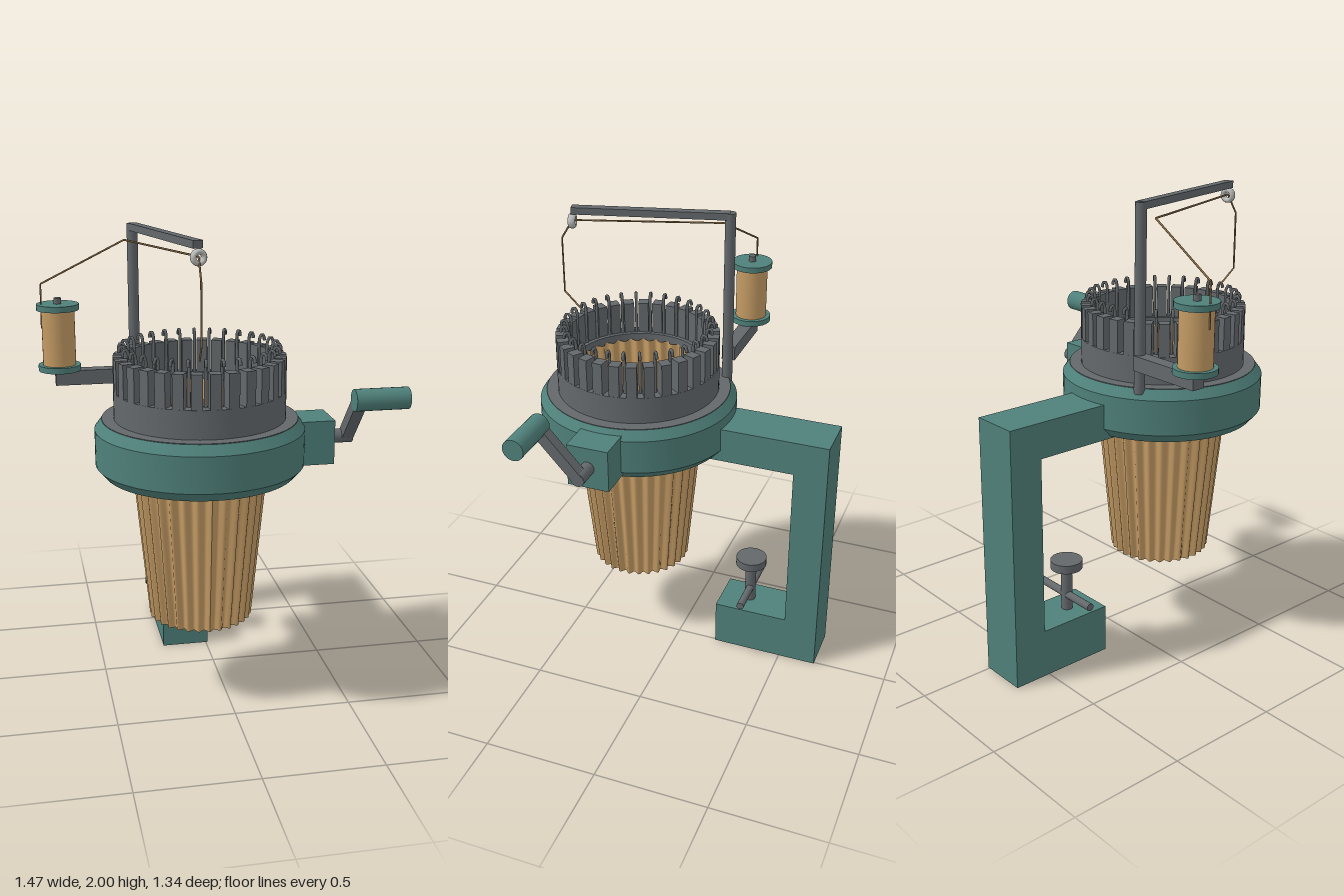
import * as THREE from 'three';
import { toCreasedNormals } from 'three/addons/utils/BufferGeometryUtils.js';

const CX = -0.1, CZ = 0.23; // axis of the needle cylinder
const NEEDLES = 30;
const V = (x, y, z) => new THREE.Vector3(x, y, z);

export function createModel() {
  const model = new THREE.Group();
  const mat = (color, side = THREE.FrontSide) => {
    const m = new THREE.MeshStandardMaterial({ color });
    m.side = side;
    return m;
  };
  const teal = mat(0x4f807a), grey = mat(0x63686b), tan = mat(0xc49b64);
  const knit = mat(0xc49b64, THREE.DoubleSide), pale = mat(0xb9bcba), yarn = mat(0x8c6f48);

  const add = (name, geometry, material, parent = model) => {
    const mesh = new THREE.Mesh(geometry, material);
    mesh.name = name;
    parent.add(mesh);
    return mesh;
  };
  const group = (name) => {
    const g = new THREE.Group();
    g.name = name;
    model.add(g);
    return g;
  };
  // box given by its minimum and maximum corners
  const box = (name, a, b, material, parent) => {
    const m = add(name, new THREE.BoxGeometry(b[0] - a[0], b[1] - a[1], b[2] - a[2]), material, parent);
    m.position.set((a[0] + b[0]) / 2, (a[1] + b[1]) / 2, (a[2] + b[2]) / 2);
    return m;
  };
  // cylinder between two points
  const rod = (name, a, b, r, material, parent, sides = 24) => {
    const d = b.clone().sub(a);
    const m = add(name, new THREE.CylinderGeometry(r, r, d.length(), sides), material, parent);
    m.position.copy(a).add(b).multiplyScalar(0.5);
    m.quaternion.setFromUnitVectors(V(0, 1, 0), d.normalize());
    return m;
  };
  // rectangular bar between two points, long axis on local z
  const bar = (name, a, b, w, h, material, parent) => {
    const m = add(name, new THREE.BoxGeometry(w, h, a.distanceTo(b)), material, parent);
    m.position.copy(a).add(b).multiplyScalar(0.5);
    m.lookAt(b);
    return m;
  };
  const lathe = (name, pts, material) => {
    const g = new THREE.LatheGeometry(pts.map(p => new THREE.Vector2(...p)), 72);
    const m = add(name, toCreasedNormals(g, 0.4), material);
    m.position.set(CX, 0, CZ);
    return m;
  };

  // bed ring, its cover plate and the slotted cylinder
  lathe('bedRing', [[0.285, 1.01], [0.4, 1.01], [0.435, 1.05], [0.435, 1.2], [0.405, 1.24],
    [0.285, 1.24], [0.285, 1.01]], teal);
  lathe('coverPlate', [[0.405, 1.235], [0.405, 1.243], [0.34, 1.243]], grey);
  lathe('needleCylinder', [[0.284, 1.2], [0.355, 1.2], [0.355, 1.36], [0.284, 1.36], [0.284, 1.2]], grey);

  // posts with a hooked needle in every gap
  const crown = group('needleCrown');
  crown.position.set(CX, 0, CZ);
  const postGeo = new THREE.BoxGeometry(0.045, 0.15, 0.052);
  const needlePath = new THREE.CatmullRomCurve3([V(0, 1.35, 0.305), V(0, 1.45, 0.305), V(0, 1.53, 0.305),
    V(0, 1.547, 0.315), V(0, 1.54, 0.328), V(0, 1.522, 0.33)]);
  const needleGeo = new THREE.TubeGeometry(needlePath, 20, 0.007, 6);
  for (let i = 0; i < NEEDLES; i++) {
    const a = (i / NEEDLES) * Math.PI * 2;
    const slot = new THREE.Group();
    slot.rotation.y = a;
    crown.add(slot);
    add('post', postGeo, grey, slot).position.set(0, 1.425, 0.328);
    const needle = add('needle', needleGeo, grey, slot);
    needle.rotation.y = Math.PI / NEEDLES;
  }

  // ribbed knitted tube, open at both ends
  const tube = new THREE.CylinderGeometry(1, 1, 1, NEEDLES * 8, 12, true);
  const p = tube.attributes.position;
  for (let i = 0; i < p.count; i++) {
    const t = p.getY(i) + 0.5;
    const a = Math.atan2(p.getX(i), p.getZ(i));
    const y = 0.365 + t * 0.97;
    const R = 0.208 + 0.062 * Math.min(1, (y - 0.365) / 0.64);
    const r = R + 0.011 * Math.cos(NEEDLES * a);
    p.setXYZ(i, r * Math.sin(a), y, r * Math.cos(a));
  }
  tube.computeVertexNormals();
  add('knittedTube', tube, knit).position.set(CX, 0, CZ);

  // C-shaped table clamp, extruded across x
  const c = new THREE.Shape([[0.67, 0], [0.67, 1.155], [0.1, 1.155], [0.1, 1], [0.52, 1], [0.52, 0.215],
    [0.185, 0.215], [0.185, 0]].map(q => new THREE.Vector2(...q)));
  const frame = add('clampFrame', new THREE.ExtrudeGeometry(c, { depth: 0.212, bevelEnabled: false }), teal);
  frame.rotation.y = Math.PI / 2;
  frame.position.set(-0.204, 0, 0);
  const screw = group('clampScrew');
  rod('screwShaft', V(CX, 0.2, -0.318), V(CX, 0.42, -0.318), 0.025, grey, screw);
  rod('screwPad', V(CX, 0.412, -0.318), V(CX, 0.45, -0.318), 0.07, grey, screw);
  rod('screwHandle', V(-0.267, 0.285, -0.322), V(0.07, 0.285, -0.322), 0.017, grey, screw);

  // gearbox and crank
  const crank = group('crank');
  box('gearbox', [0.3, 1.03, 0.138], [0.455, 1.218, 0.323], teal, crank);
  rod('crankShaft', V(0.44, 1.125, 0.23), V(0.555, 1.125, 0.23), 0.03, grey, crank);
  bar('crankArm', V(0.531, 1.115, 0.22), V(0.531, 1.325, 0.41), 0.05, 0.05, grey, crank);
  rod('crankHandle', V(0.505, 1.325, 0.41), V(0.735, 1.325, 0.41), 0.046, teal, crank);

  // mast with yarn arm and eyelet
  const mast = group('yarnMast');
  rod('mastPole', V(-0.325, 1.22, -0.105), V(-0.325, 1.998, -0.105), 0.023, grey, mast);
  bar('mastArm', V(-0.325, 1.985, -0.105), V(-0.162, 1.985, 0.55), 0.04, 0.03, grey, mast);
  const eyelet = add('eyelet', new THREE.TorusGeometry(0.022, 0.011, 12, 28), pale, mast);
  eyelet.position.set(-0.16, 1.937, 0.547);
  eyelet.rotation.y = 0.24;
  eyelet.scale.z = 1.5;

  // spool on its side bracket
  const spool = group('spool');
  const disc = (name, y0, y1, r, m) => rod(name, V(-0.647, y0, -0.108), V(-0.647, y1, -0.108), r, m, spool, 32);
  box('spoolBracket', [-0.667, 1.322, -0.138], [-0.325, 1.385, -0.078], grey, spool);
  disc('lowerFlange', 1.385, 1.41, 0.09, teal);
  disc('woundYarn', 1.41, 1.645, 0.07, tan);
  disc('upperFlange', 1.645, 1.67, 0.09, teal);
  disc('spoolPin', 1.36, 1.695, 0.016, grey);

  // yarn from the spool through the eyelet to the needles
  const path = [V(-0.717, 1.57, -0.108), V(-0.715, 1.755, -0.108), V(-0.365, 1.935, -0.065),
    V(-0.16, 1.94, 0.547), V(-0.16, 1.855, 0.6), V(-0.16, 1.61, 0.6), V(-0.152, 1.54, 0.52)];
  const strand = group('yarnStrand');
  for (let i = 1; i < path.length; i++) rod('yarn', path[i - 1], path[i], 0.004, yarn, strand, 6);

  return model;
}
